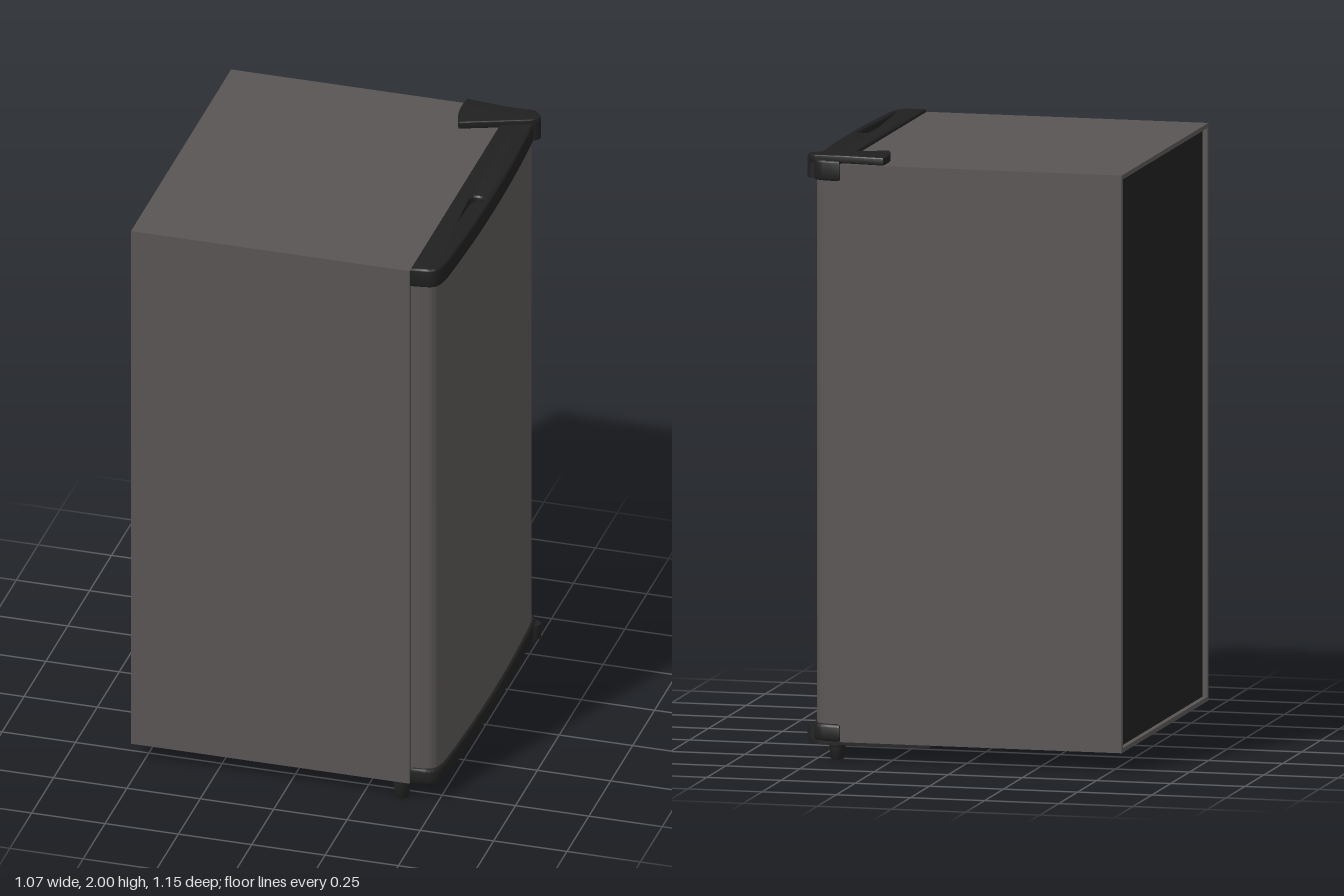
import * as THREE from 'three';
import { toCreasedNormals } from 'three/addons/utils/BufferGeometryUtils.js';

const grey = new THREE.MeshStandardMaterial({ color: 0x5a5555 });
const dark = new THREE.MeshStandardMaterial({ color: 0x202020 });

export function createModel() {
  const group = new THREE.Group();

  function add(name, geometry, material, x = 0, y = 0, z = 0) {
    const mesh = new THREE.Mesh(geometry, material);
    mesh.name = name;
    mesh.position.set(x, y, z);
    group.add(mesh);
    return mesh;
  }

  // Extrudes a plan outline (x, z) between two heights
  function slab(shape, y0, y1, bevel = 0) {
    const g = new THREE.ExtrudeGeometry(shape, {
      depth: y1 - y0 - 2 * bevel, curveSegments: 14,
      bevelEnabled: bevel > 0, bevelThickness: bevel, bevelSize: bevel,
      bevelOffset: -bevel, bevelSegments: 3,
    });
    g.rotateX(Math.PI / 2).translate(0, y1 - bevel, 0);
    return toCreasedNormals(g, 0.6);
  }

  // Bowed door outline with rounded front corners
  function doorShape(inset = 0) {
    const s = new THREE.Shape(), i = inset;
    s.moveTo(0.412, -0.575 + i);
    s.lineTo(0.46, -0.569 + i);
    s.bezierCurveTo(0.5 - i, -0.563 + i, 0.512 - i, -0.545 + i, 0.517 - i, -0.49 + i);
    s.quadraticCurveTo(0.545 - i, 0, 0.515 - i, 0.485 - i);
    s.bezierCurveTo(0.508 - i, 0.545 - i, 0.5 - i, 0.56 - i, 0.46, 0.566 - i);
    s.lineTo(0.412, 0.572 - i);
    s.closePath();
    return s;
  }

  // Slanted stadium for the finger grip
  function gripOutline(Type, r) {
    const p = new Type(), tilt = 0.03;
    p.absarc(0.485, 0.06, r, Math.PI + tilt, 2 * Math.PI + tilt, false);
    p.absarc(0.472, 0.485, r, tilt, Math.PI + tilt, false);
    p.closePath();
    return p;
  }

  // Cabinet
  add('cabinet', new THREE.BoxGeometry(0.93, 1.91, 1.145), grey, -0.055, 1.02, -0.0025);

  // Raised rim around the recessed rear panel
  const rim = new THREE.Shape();
  rim.moveTo(-0.5725, -0.955).lineTo(0.5725, -0.955).lineTo(0.5725, 0.955).lineTo(-0.5725, 0.955).closePath();
  const opening = new THREE.Path();
  opening.moveTo(-0.558, -0.94).lineTo(-0.558, 0.94).lineTo(0.558, 0.94).lineTo(0.558, -0.94).closePath();
  rim.holes.push(opening);
  const rimGeometry = new THREE.ExtrudeGeometry(rim, { depth: 0.02, bevelEnabled: false });
  rimGeometry.rotateY(-Math.PI / 2);
  add('rearRim', rimGeometry, grey, -0.52, 1.02, -0.0025);
  add('rearPanel', new THREE.BoxGeometry(0.004, 1.88, 1.116), dark, -0.522, 1.02, -0.0025);

  // Door with its end caps
  add('doorPanel', slab(doorShape(0.01), 0.11, 1.93), grey);
  add('doorBottomCap', slab(doorShape(), 0.065, 0.122, 0.01), dark);
  const topCap = doorShape();
  topCap.holes.push(gripOutline(THREE.Path, 0.023));
  add('doorTopCap', slab(topCap, 1.918, 1.985, 0.008), dark);
  add('gripFloor', slab(gripOutline(THREE.Shape, 0.026), 1.92, 1.962), dark);

  // Top hinge cover: a wedge tapering to a rounded pivot
  const hinge = new THREE.Shape();
  hinge.moveTo(0.267, -0.565);
  hinge.lineTo(0.41, -0.55);
  hinge.lineTo(0.5, -0.552);
  hinge.quadraticCurveTo(0.53, -0.535, 0.533, -0.512);
  hinge.quadraticCurveTo(0.528, -0.492, 0.505, -0.481);
  hinge.lineTo(0.287, -0.401);
  hinge.quadraticCurveTo(0.255, -0.47, 0.267, -0.565);
  add('topHingeCover', slab(hinge, 1.974, 2.0, 0.004), dark);
  add('topHingePivot', new THREE.CylinderGeometry(0.027, 0.027, 0.07, 20), dark, 0.507, 1.957, -0.512);

  // Lower hinge bracket under the cabinet
  const bracket = new THREE.Shape();
  bracket.moveTo(0.11, -0.56);
  bracket.lineTo(0.48, -0.56);
  bracket.quadraticCurveTo(0.525, -0.555, 0.525, -0.51);
  bracket.quadraticCurveTo(0.522, -0.475, 0.48, -0.465);
  bracket.lineTo(0.4, -0.442);
  bracket.lineTo(0.11, -0.442);
  bracket.closePath();
  add('bottomHingeBracket', slab(bracket, 0.053, 0.067), dark);
  add('bottomHingePivot', new THREE.CylinderGeometry(0.027, 0.027, 0.05, 20), dark, 0.507, 0.085, -0.512);

  // Levelling feet
  const footProfile = [[0, 0], [0.021, 0], [0.023, 0.004], [0.026, 0.042], [0.029, 0.044], [0.029, 0.07], [0, 0.07]]
    .map(([r, y]) => new THREE.Vector2(r, y));
  const foot = toCreasedNormals(new THREE.LatheGeometry(footProfile, 20), 0.6);
  for (const [x, z] of [[0.375, 0.54], [0.436, -0.505]]) add('foot', foot, dark, x, 0, z);

  return group;
}
